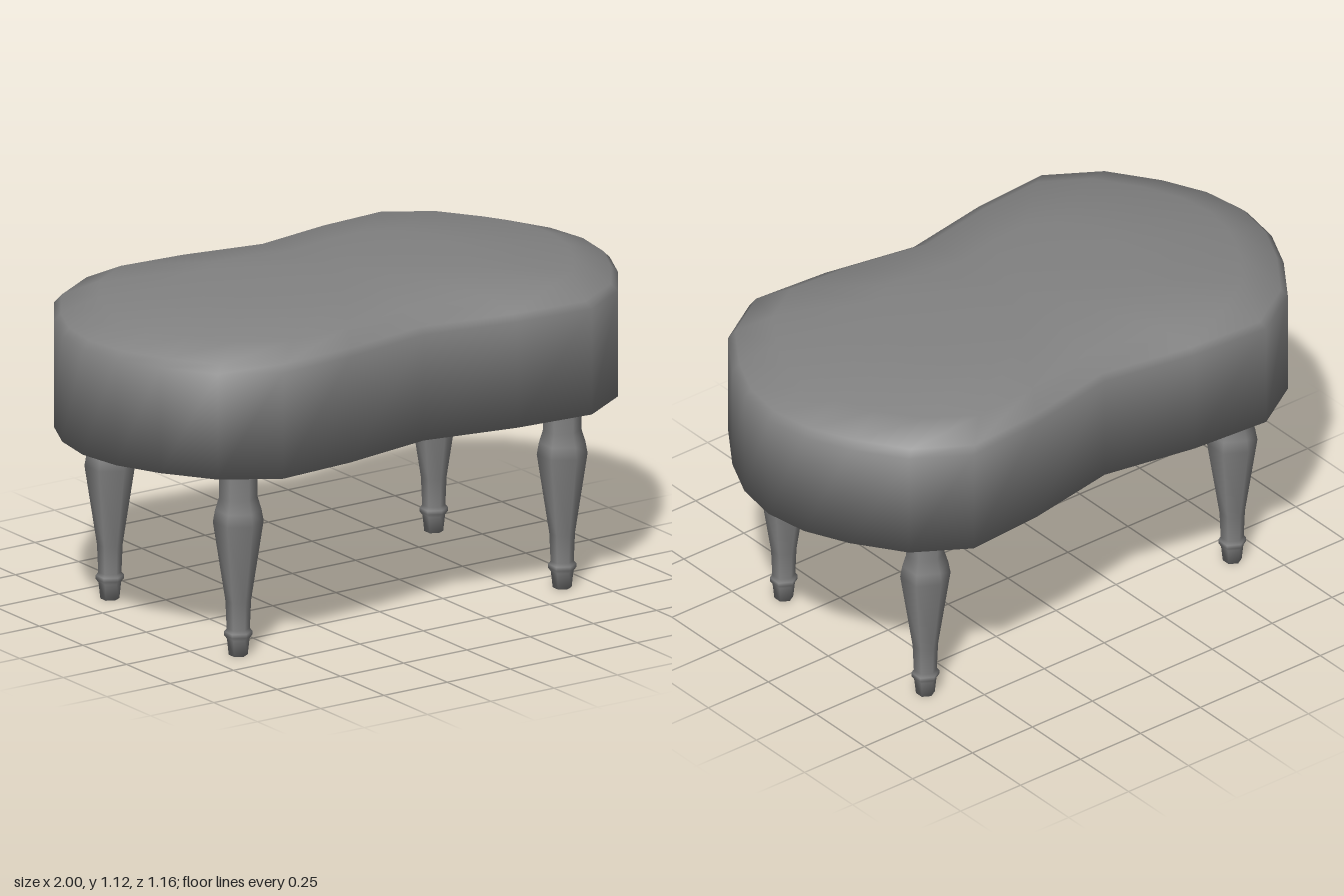
import * as THREE from 'three';

const material = new THREE.MeshStandardMaterial({ color: 0x828282 });

// One quarter of the waisted plan, from the front middle to the left end (x, z)
const QUARTER = [[0, 0.502], [0.33, 0.562], [0.61, 0.582], [0.79, 0.47], [0.905, 0.305], [0.975, 0.155], [1, 0]];

// Cushion cross-sections from underside to crown (scale of the plan, height)
const LAYERS = [[0.88, 0.65], [1, 0.65], [1, 1.01], [0.975, 1.035], [0.84, 1.08], [0.47, 1.11]];
const CROWN = 1.122;

// Turned leg profile (radius, height)
const LEG = [
  [0, 0], [0.031, 0], [0.037, 0.055], [0.046, 0.067], [0.046, 0.08], [0.038, 0.09],
  [0.042, 0.185], [0.083, 0.455], [0.076, 0.495], [0.063, 0.538], [0.063, 0.66],
];

// Mirror the quarter into a closed plan
function planOutline() {
  const half = [...QUARTER, ...QUARTER.slice(0, -1).reverse().map(([x, z]) => [x, -z])];
  return [...half, ...half.slice(1, -1).reverse().map(([x, z]) => [-x, z])];
}

// Soft upholstery normals: faces count by their corner angle, not their area
function softNormals(positions, index) {
  const points = [];
  for (let i = 0; i < positions.length; i += 3) points.push(new THREE.Vector3().fromArray(positions, i));
  const normals = points.map(() => new THREE.Vector3());
  for (let t = 0; t < index.length; t += 3) {
    for (let c = 0; c < 3; c++) {
      const [a, b, d] = [0, 1, 2].map((k) => index[t + ((c + k) % 3)]);
      const u = points[b].clone().sub(points[a]);
      const v = points[d].clone().sub(points[a]);
      const angle = u.angleTo(v);
      normals[a].addScaledVector(u.cross(v).normalize(), angle);
    }
  }
  return normals.flatMap((n) => n.normalize().toArray());
}

function cushionGeometry() {
  const plan = planOutline();
  const n = plan.length;
  const positions = [];
  const index = [];
  for (const [s, y] of LAYERS) for (const [x, z] of plan) positions.push(x * s, y, z * s);
  const bottom = positions.length / 3;
  const top = bottom + 1;
  positions.push(0, LAYERS[0][1], 0, 0, CROWN, 0);

  const last = (LAYERS.length - 1) * n;
  for (let i = 0; i < n; i++) {
    const j = (i + 1) % n;
    for (let k = 0; k < last; k += n) {
      index.push(k + i, k + j, k + n + j, k + i, k + n + j, k + n + i);
    }
    index.push(bottom, j, i, top, last + i, last + j);
  }

  const geometry = new THREE.BufferGeometry();
  geometry.setAttribute('position', new THREE.Float32BufferAttribute(positions, 3));
  geometry.setAttribute('normal', new THREE.Float32BufferAttribute(softNormals(positions, index), 3));
  geometry.setIndex(index);
  return geometry;
}

export function createModel() {
  const stool = new THREE.Group();
  stool.name = 'footstool';

  // Upholstered seat
  const cushion = new THREE.Mesh(cushionGeometry(), material);
  cushion.name = 'cushion';
  stool.add(cushion);

  // Four six-sided turned legs
  const legGeometry = new THREE.LatheGeometry(LEG.map(([r, y]) => new THREE.Vector2(r, y)), 6);
  for (const [side, x] of [['Left', 0.64], ['Right', -0.64]]) {
    for (const [end, z] of [['front', 0.368], ['back', -0.368]]) {
      const leg = new THREE.Mesh(legGeometry, material);
      leg.name = `${end}${side}Leg`;
      leg.position.set(x, 0, z);
      stool.add(leg);
    }
  }
  return stool;
}
